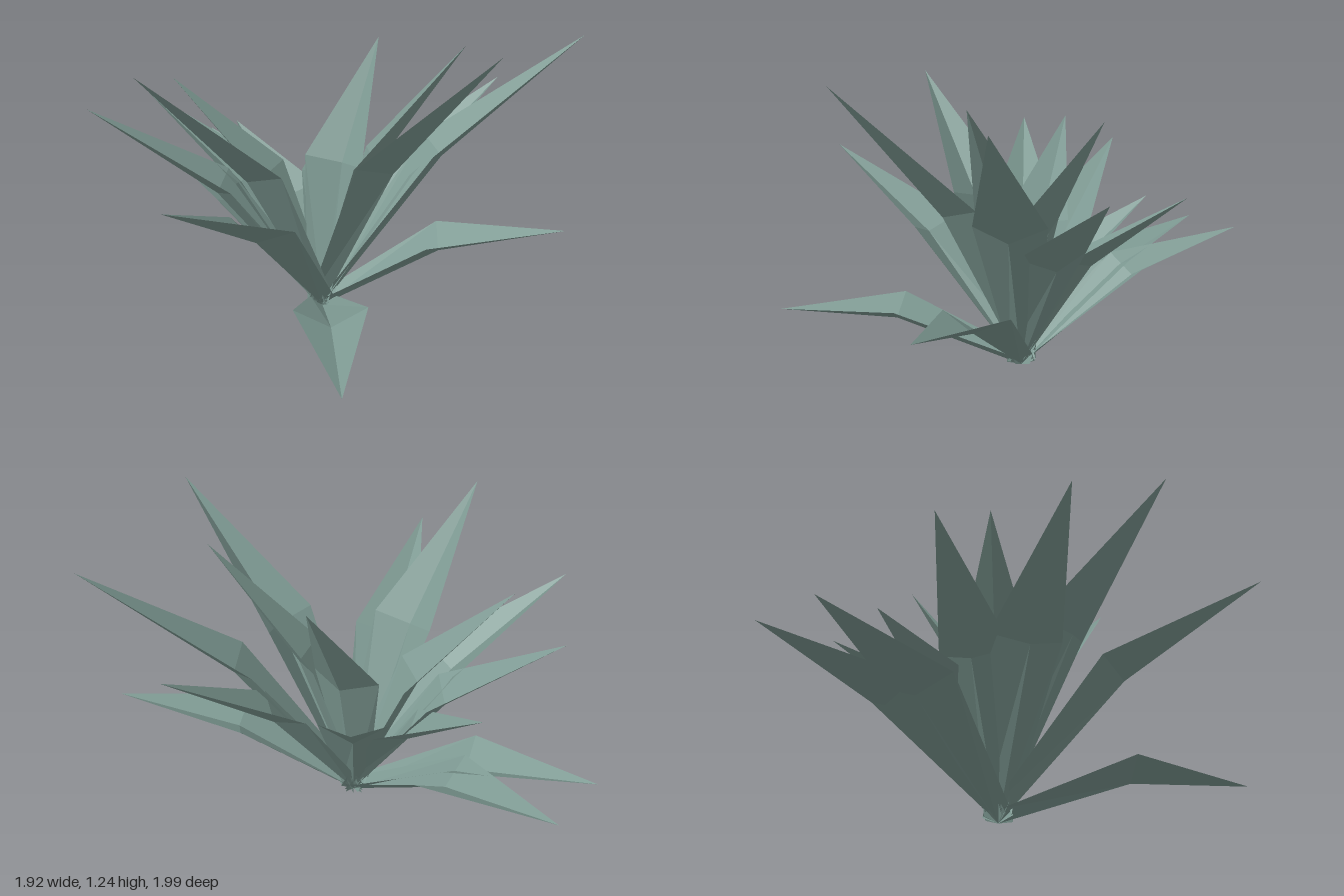
import * as THREE from 'three';

// Common root of all leaves
const ROOT = new THREE.Vector3(-0.06, 0, -0.03);

// Leaf tips, in rings from the ground upwards
const TIPS = {
  lowerLeaf: [[-0.15, 0.22, 0.99], [0.84, 0.45, 0.35], [-0.46, 0.49, -1.0], [-0.71, 0.48, -0.84]],
  middleLeaf: [
    [-0.69, 0.83, 0.80], [-0.96, 0.91, -0.06], [-0.74, 0.85, -0.47],
    [0.75, 0.89, -0.30], [0.18, 0.78, -0.66], [-0.36, 0.66, -0.58],
  ],
  upperLeaf: [
    [0.44, 1.24, 0.65], [-0.76, 1.16, 0.40], [0.96, 1.16, 0.09],
    [0.46, 1.16, 0.17], [0.23, 1.08, -0.33], [-0.63, 0.97, -0.24],
  ],
};

// Folded leaf: a narrow V at the root, a wide V at the bend, then a point
function leafGeometry(tip) {
  const axis = tip.clone().sub(ROOT);
  const side = new THREE.Vector3(axis.z, 0, -axis.x).normalize();
  const normal = axis.clone().normalize().cross(side).normalize();
  const at = (t, across, lift) => ROOT.clone()
    .addScaledVector(axis, t).addScaledVector(side, across).addScaledVector(normal, lift);

  const section = (t, width, crease, edge) => [at(t, -width, edge), at(t, 0, crease), at(t, width, edge)];
  const base = section(0, 0.05, 0, 0.04);
  const bend = section(0.53, 0.14, 0.08, 0.152);

  const points = [];
  for (let i = 0; i < 2; i++) {
    points.push(base[i], base[i + 1], bend[i + 1]);
    points.push(base[i], bend[i + 1], bend[i]);
    points.push(bend[i], bend[i + 1], tip);
  }
  const geometry = new THREE.BufferGeometry().setFromPoints(points);
  geometry.computeVertexNormals();
  return geometry;
}

export function createModel() {
  const plant = new THREE.Group();
  plant.name = 'spikyPlant';
  const leafGreen = new THREE.MeshStandardMaterial({
    color: 0x7e9a93, flatShading: true, side: THREE.DoubleSide,
  });
  leafGreen.name = 'grey green leaf';

  for (const [name, tips] of Object.entries(TIPS)) {
    tips.forEach((tip, i) => {
      const leaf = new THREE.Mesh(leafGeometry(new THREE.Vector3(...tip)), leafGreen);
      leaf.name = `${name}${i + 1}`;
      plant.add(leaf);
    });
  }
  return plant;
}
